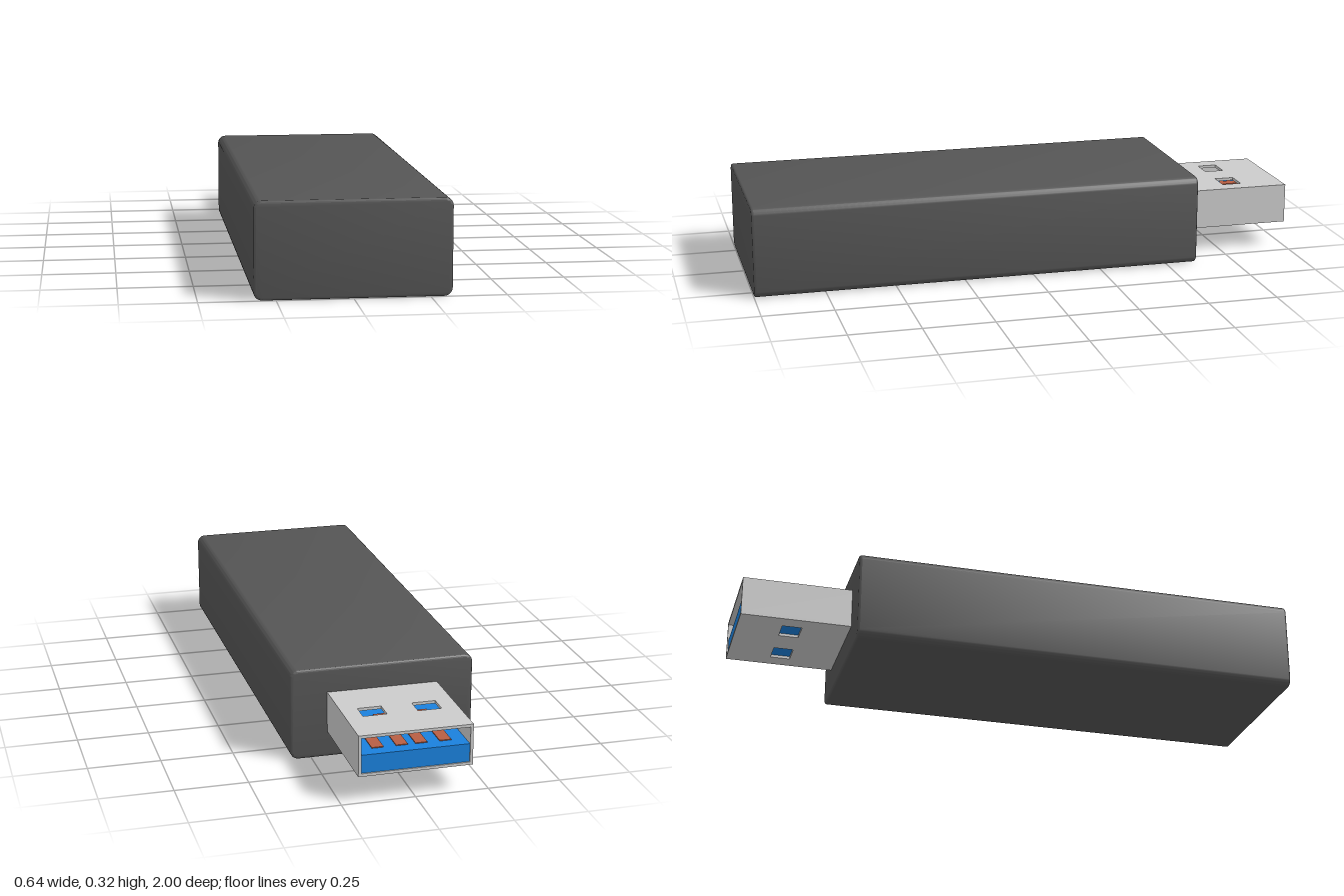
import * as THREE from 'three';
import { toCreasedNormals } from 'three/addons/utils/BufferGeometryUtils.js';

const paint = (color) => new THREE.MeshStandardMaterial({ color });

function addMesh(parent, name, geometry, material, x = 0, y = 0, z = 0) {
  const mesh = new THREE.Mesh(geometry, material);
  mesh.name = name;
  mesh.position.set(x, y, z);
  parent.add(mesh);
  return mesh;
}

// Rectangle with rounded corners, centred on the origin
function roundedRect(w, h, r) {
  const x = w / 2 - r, y = h / 2 - r;
  const s = new THREE.Shape();
  s.absarc(x, y, r, 0, Math.PI / 2);
  s.absarc(-x, y, r, Math.PI / 2, Math.PI);
  s.absarc(-x, -y, r, Math.PI, Math.PI * 1.5);
  s.absarc(x, -y, r, Math.PI * 1.5, Math.PI * 2);
  s.closePath();
  return s;
}

// Anticlockwise rectangle from its corners
function rectPoints(x0, y0, x1, y1) {
  return [[x0, y0], [x1, y0], [x1, y1], [x0, y1]].map(([x, y]) => new THREE.Vector2(x, y));
}

export function createModel() {
  const model = new THREE.Group();
  model.name = 'usbStick';
  const dark = paint(0x555555), metal = paint(0xcccccc);
  const blue = paint(0x1a80dc), copper = paint(0xb75e43);

  // Casing: rounded block with slightly softened ends
  const bevel = 0.008, backZ = -0.61;
  const casing = new THREE.ExtrudeGeometry(roundedRect(0.644 - 2 * bevel, 0.322 - 2 * bevel, 0.02), {
    depth: 1 - backZ - 2 * bevel, bevelEnabled: true, bevelSize: bevel,
    bevelThickness: bevel, bevelSegments: 3, curveSegments: 6,
  });
  addMesh(model, 'casing', toCreasedNormals(casing, 0.7), dark, 0, 0.161, backZ + bevel);

  // Plug shell: two pierced plates and two side walls
  const plug = new THREE.Group();
  plug.name = 'plug';
  model.add(plug);
  const halfW = 0.194, y0 = 0.092, y1 = 0.235, wall = 0.01, tipZ = -1, rootZ = -0.6;
  const length = rootZ - tipZ, midZ = (rootZ + tipZ) / 2;

  // Plate outline in x and -z, with the two latch windows
  const plate = new THREE.Shape(rectPoints(-halfW, -rootZ, halfW, -tipZ));
  for (const side of [-1, 1]) {
    const cx = side * 0.094;
    plate.holes.push(new THREE.Path(rectPoints(cx - 0.041, 0.775, cx + 0.041, 0.845).reverse()));
  }
  const plateGeometry = new THREE.ExtrudeGeometry(plate, { depth: wall, bevelEnabled: false });
  plateGeometry.rotateX(-Math.PI / 2);
  addMesh(plug, 'shellBottom', plateGeometry, metal, 0, y0, 0);
  addMesh(plug, 'shellTop', plateGeometry, metal, 0, y1 - wall, 0);

  const sideGeometry = new THREE.BoxGeometry(wall, y1 - y0 - 2 * wall, length);
  for (const [name, side] of [['shellLeft', 1], ['shellRight', -1]]) {
    addMesh(plug, name, sideGeometry, metal, side * (halfW - wall / 2), (y0 + y1) / 2, midZ);
  }

  // Insulating tongue filling the lower half of the shell
  const tongueTop = 0.165, tongueBottom = y0 + wall, tongueTip = tipZ + 0.005;
  addMesh(plug, 'tongue',
    new THREE.BoxGeometry(2 * (halfW - wall), tongueTop - tongueBottom, rootZ - tongueTip),
    blue, 0, (tongueTop + tongueBottom) / 2, (rootZ + tongueTip) / 2);

  // Four contacts lying on the tongue
  const contactGeometry = new THREE.BoxGeometry(0.04, 0.004, 0.27);
  for (const x of [-0.115, -0.033, 0.033, 0.115]) {
    addMesh(plug, 'contact', contactGeometry, copper, x, tongueTop + 0.001, -0.815);
  }
  return model;
}
